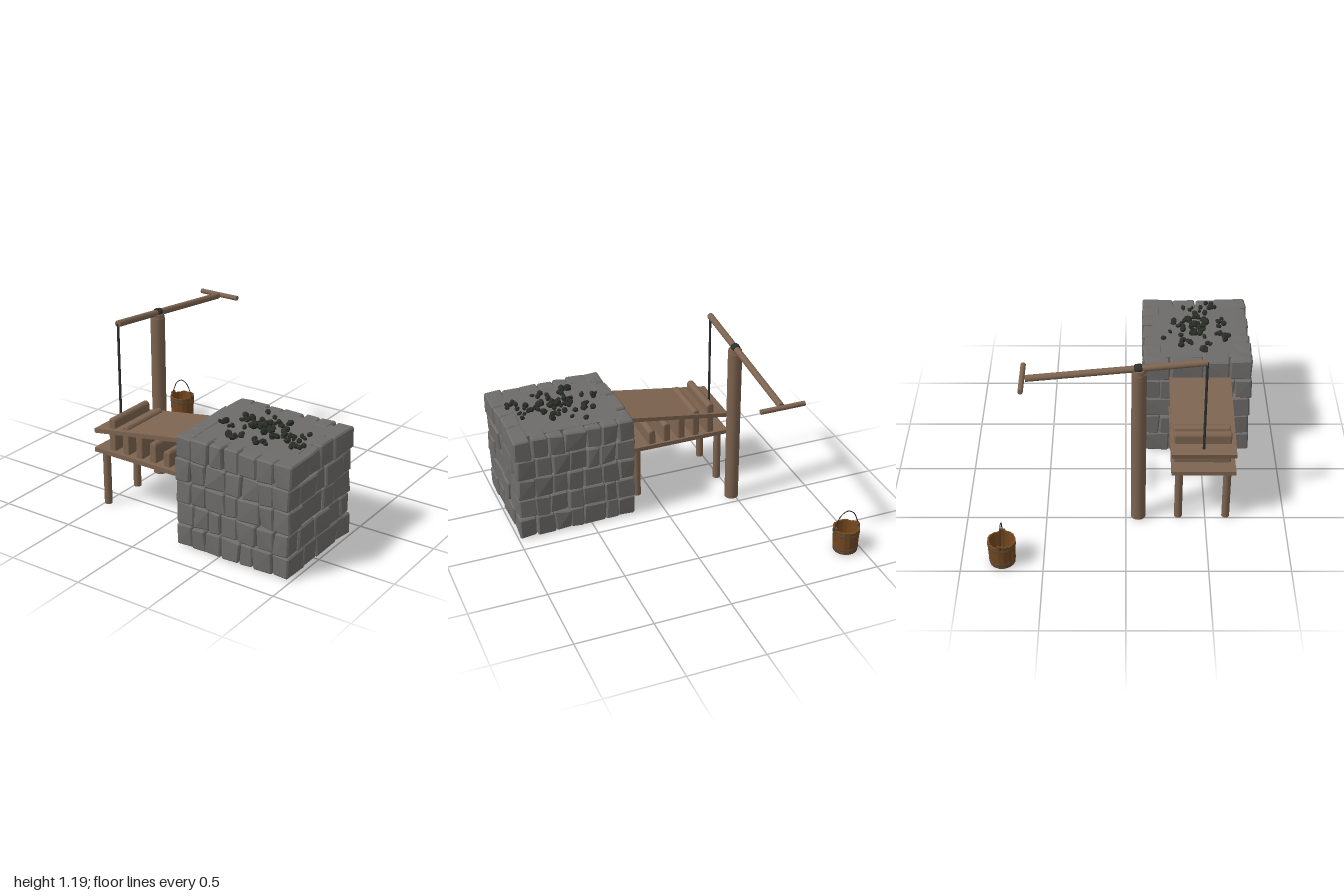
import * as THREE from 'three';
import { ConvexGeometry } from 'three/addons/geometries/ConvexGeometry.js';

let seed = 7;
const rnd = () => (seed = (seed * 16807) % 2147483647) / 2147483647;
const jit = (a) => (rnd() * 2 - 1) * a;
const V = (x, y, z) => new THREE.Vector3(x, y, z);

const material = (name, color, flatShading = false) => {
  const m = new THREE.MeshStandardMaterial({ color, flatShading });
  m.name = name;
  return m;
};

export function createModel() {
  const stone = material('stone', 0x6e6c6a, true);
  const wood = material('wood', 0x7d6450);
  const bucketWood = material('bucketWood', 0x75481f, true);
  const iron = material('iron', 0x50504c);
  const coal = material('coal', 0x2b2e27, true);
  const rope = material('rope', 0x2e322c);

  const root = new THREE.Group();
  root.name = 'forge';
  const group = (name, parent = root) => {
    const g = new THREE.Group();
    g.name = name;
    parent.add(g);
    return g;
  };
  const add = (parent, name, geo, mat, x = 0, y = 0, z = 0) => {
    const m = new THREE.Mesh(geo, mat);
    m.name = name;
    m.position.set(x, y, z);
    parent.add(m);
    return m;
  };
  // Round bar between two points
  const rod = (parent, name, a, b, r, mat, sides = 16) => {
    const d = b.clone().sub(a);
    const m = add(parent, name, new THREE.CylinderGeometry(r, r, d.length(), sides), mat);
    m.position.copy(a).add(b).multiplyScalar(0.5);
    m.quaternion.setFromUnitVectors(V(0, 1, 0), d.normalize());
    return m;
  };

  // Chamfered block with uneven corners
  const blockGeometry = (w, h, d) => {
    const pts = [];
    const c = 0.009;
    for (const sx of [-1, 1]) for (const sy of [-1, 1]) for (const sz of [-1, 1]) {
      const p = V(sx * w / 2 + jit(0.007), sy * h / 2 + jit(0.005), sz * d / 2 + jit(0.007));
      pts.push(V(p.x, p.y - sy * c, p.z - sz * c), V(p.x - sx * c, p.y, p.z - sz * c), V(p.x - sx * c, p.y - sy * c, p.z));
    }
    return new ConvexGeometry(pts);
  };

  // Hollow hearth: five courses of stones, corners alternating
  const hearth = group('hearth');
  const X0 = 0.195, X1 = 0.985, Z0 = 0.115, Z1 = 0.82, T = 0.11, rowH = 0.143;
  const splits = (a, b, n) => Array.from({ length: n + 1 }, (_, i) =>
    a + (b - a) * i / n + (i > 0 && i < n ? jit(0.2 * (b - a) / n) : 0));
  for (let r = 0; r < 5; r++) {
    const y = 0.012 + rowH * (r + 0.5);
    const even = r % 2 === 0;
    const dx = even ? T : 0, dz = even ? 0 : T;
    for (const z of [Z0 + T / 2, Z1 - T / 2]) {
      const s = splits(X0 + dx, X1 - dx, even ? 5 : 7);
      for (let i = 0; i + 1 < s.length; i++)
        add(hearth, 'wallStone', blockGeometry(s[i + 1] - s[i] - 0.002, rowH - 0.003, T), stone,
          (s[i] + s[i + 1]) / 2, y, z + jit(0.006));
    }
    for (const x of [X0 + T / 2, X1 - T / 2]) {
      const s = splits(Z0 + dz, Z1 - dz, even ? 4 : 3);
      for (let i = 0; i + 1 < s.length; i++)
        add(hearth, 'wallStone', blockGeometry(T, rowH - 0.003, s[i + 1] - s[i] - 0.002), stone,
          x + jit(0.006), y, (s[i] + s[i + 1]) / 2);
    }
  }
  add(hearth, 'hearthTop', new THREE.BoxGeometry(0.66, 0.04, 0.575), stone, 0.59, 0.705, 0.4675);

  // Loose coals, densest in the middle
  const coals = group('coals');
  for (let i = 0; i < 64; i++) {
    const rad = 0.29 * Math.pow(rnd(), 0.8), a = rnd() * Math.PI * 2;
    const s = 0.014 + rnd() * 0.012;
    const lift = rad < 0.12 ? rnd() * 0.03 : 0;
    const m = add(coals, 'coal', new THREE.DodecahedronGeometry(s), coal,
      0.585 + Math.cos(a) * rad, 0.738 + lift, 0.465 + Math.sin(a) * rad * 0.85);
    m.rotation.set(rnd() * 6, rnd() * 6, rnd() * 6);
    m.scale.set(1 + jit(0.3), 0.8, 1 + jit(0.3));
  }
  for (let i = 0; i < 7; i++)
    add(coals, 'strayCoal', new THREE.DodecahedronGeometry(0.017), coal, 0.88 + jit(0.04), 0.742, 0.56 + jit(0.05)).rotation.set(i, i * 2, 0);

  // Bellows table
  const bellows = group('bellows');
  add(bellows, 'lowerBoard', new THREE.BoxGeometry(0.695, 0.028, 0.4), wood, -0.1875, 0.39, 0.48);
  for (const x of [-0.48, 0.105]) for (const z of [0.33, 0.63])
    rod(bellows, 'leg', V(x, 0.012, z), V(x, 0.38, z), 0.025, wood);
  add(bellows, 'upperBoard', new THREE.BoxGeometry(0.695, 0.028, 0.4), wood, -0.1875, 0.572, 0.48).rotation.z = 0.153;

  // Bellows folds, shorter towards the nozzle
  const foldGeometry = (h) => {
    const w = 0.015;
    const s = new THREE.Shape();
    s.moveTo(-w, 0);
    s.lineTo(w, 0);
    s.lineTo(w, h - w - 0.01);
    s.absarc(0, h - w - 0.01, w, 0, Math.PI, false);
    return new THREE.ExtrudeGeometry(s, { depth: 0.336, bevelEnabled: true, bevelSize: 0.01, bevelThickness: 0.01, bevelSegments: 3, curveSegments: 8 });
  };
  [0.62, 0.592, 0.56, 0.535, 0.505].forEach((top, i) =>
    add(bellows, 'fold', foldGeometry(top - 0.4), wood, -0.413 + i * 0.1045, 0.4, 0.307));
  rod(bellows, 'nozzle', V(0.12, 0.43, 0.475), V(0.3, 0.43, 0.475), 0.03, iron);

  // Post, lever, handle and rope
  const pump = group('pump');
  rod(pump, 'post', V(-0.48, 0.012, 0.078), V(-0.48, 1.1, 0.078), 0.046, wood, 20);
  rod(pump, 'lever', V(-0.48, 1.175, 0.48), V(-0.48, 1.062, -0.595), 0.021, wood);
  rod(pump, 'handle', V(-0.625, 1.064, -0.615), V(-0.335, 1.064, -0.615), 0.016, wood);
  add(pump, 'pivotBlock', new THREE.CylinderGeometry(0.042, 0.046, 0.03, 6), wood, -0.48, 1.112, 0.078);
  const band = add(pump, 'pivotBand', new THREE.TorusGeometry(0.023, 0.006, 8, 16), rope, -0.48, 1.133, 0.073);
  band.rotation.x = -0.105;
  band.scale.z = 4;
  rod(pump, 'rope', V(-0.48, 1.175, 0.478), V(-0.48, 0.53, 0.478), 0.008, rope, 8);

  // Bucket: leaning staves, floor, hoops and handle
  const bucket = group('bucket');
  bucket.position.set(-0.905, 0.012, -0.75);
  const N = 16;
  for (let i = 0; i < N; i++) {
    const g = group('staveMount', bucket);
    g.rotation.y = (i / N) * Math.PI * 2;
    const h = 0.165 + jit(0.004);
    const stave = add(g, 'stave', new THREE.BoxGeometry(0.033, h, 0.011), bucketWood, 0, h / 2, 0.075 + jit(0.001));
    stave.rotation.x = 0.045;
  }
  add(bucket, 'bucketFloor', new THREE.CylinderGeometry(0.073, 0.071, 0.02, N), bucketWood, 0, 0.013, 0);
  for (const [y, r] of [[0.03, 0.0805], [0.135, 0.0855]]) {
    const hoop = new THREE.LatheGeometry([
      new THREE.Vector2(r - 0.004, -0.007), new THREE.Vector2(r, -0.007),
      new THREE.Vector2(r + 0.001, 0.007), new THREE.Vector2(r - 0.004, 0.007)], 32);
    add(bucket, 'hoop', hoop, iron, 0, y, 0);
  }
  for (const s of [-1, 1]) add(bucket, 'lug', new THREE.BoxGeometry(0.014, 0.05, 0.036), bucketWood, s * 0.079, 0.155, 0);
  const arc = new THREE.CatmullRomCurve3([
    V(-0.088, 0.165, 0), V(-0.073, 0.2, 0), V(-0.045, 0.258, 0), V(0, 0.283, 0),
    V(0.045, 0.258, 0), V(0.073, 0.2, 0), V(0.088, 0.165, 0)]);
  add(bucket, 'bucketHandle', new THREE.TubeGeometry(arc, 32, 0.0032, 6), rope);
  for (const s of [-1, 1]) add(bucket, 'handlePin', new THREE.SphereGeometry(0.008, 10, 8), rope, s * 0.088, 0.165, 0);

  return root;
}
